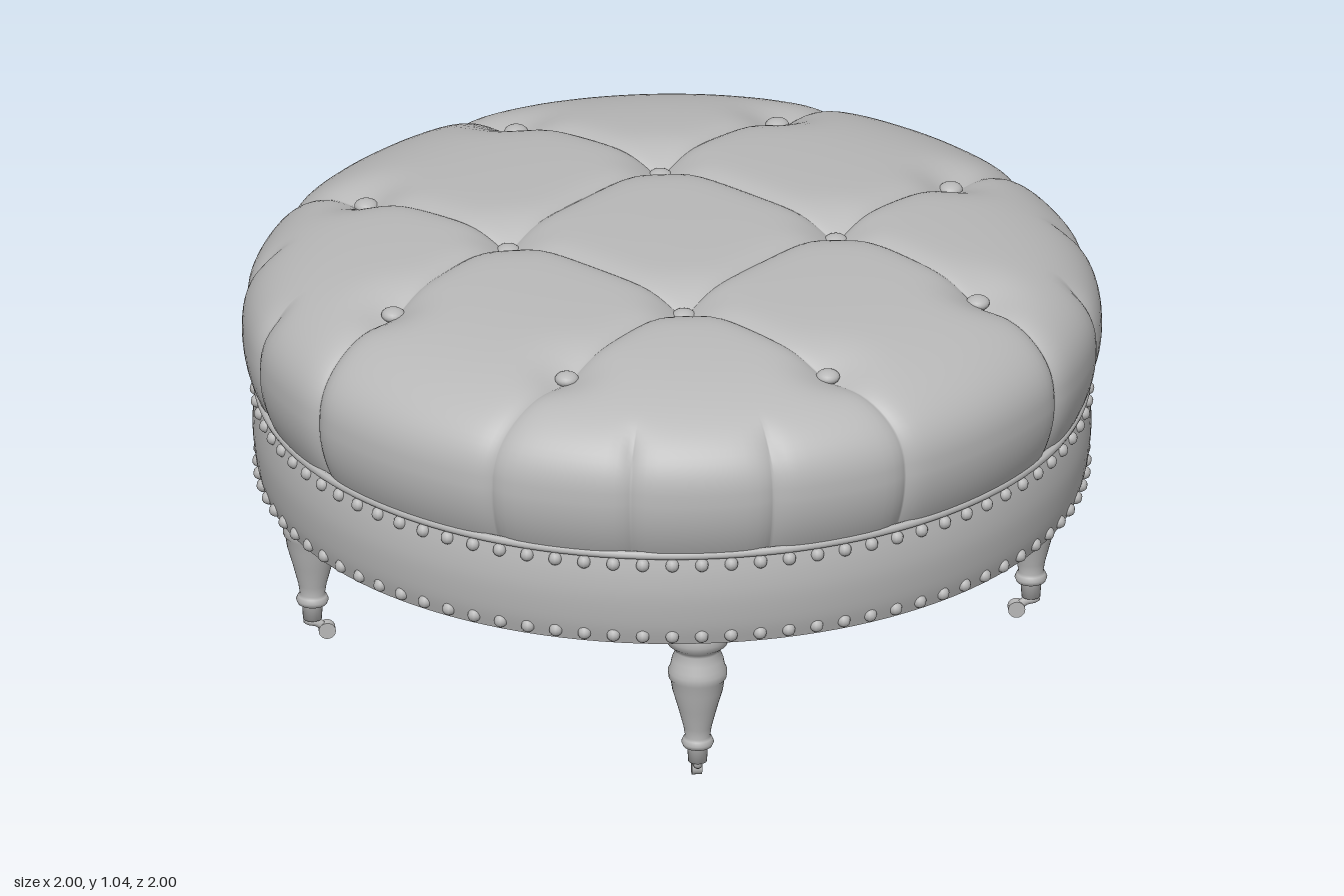
import * as THREE from 'three';
import { mergeGeometries, mergeVertices } from 'three/addons/utils/BufferGeometryUtils.js';

const SEAM = 0.27;                       // tufting seams run at x, z = +-SEAM
const SEAM_ANGLE = Math.asin(SEAM);
const SIDE_ANGLES = [0.615, Math.PI / 2 - 0.615]; // extra seams on the rounded rim
const BUTTONS = [];
for (const sx of [-1, 1]) for (const sz of [-1, 1]) {
  for (const [x, z] of [[SEAM, SEAM], [0.69, SEAM], [SEAM, 0.72]]) BUTTONS.push([x * sx, z * sz]);
}

const ease = (k, n) => (1 - Math.cos((Math.PI * k) / n)) / 2; // points cluster at both ends
const groove = (d, depth, width) => depth * Math.exp(-Math.abs(d) / width);

// Point on the tufted cushion: above the rim, or 'drop' (0..1) below it
function cushionPoint(x, z, drop = 0) {
  const r = Math.min(Math.hypot(x, z), 1);
  const ax = Math.abs(x), az = Math.abs(z), angle = Math.atan2(ax, az);
  const dome = Math.pow(Math.max(0, 1 - Math.pow(r, 4.5)), 0.4);
  let depth = 0;
  if (drop > 0) {
    for (const s of [SEAM_ANGLE, Math.PI / 2 - SEAM_ANGLE]) depth += groove(angle - s, 0.018, 0.025);
  } else {
    depth += groove(ax - SEAM, 0.018, 0.025) + groove(az - SEAM, 0.018, 0.025);
  }
  const rim = THREE.MathUtils.smoothstep(r, 0.88, 0.97);
  for (const s of SIDE_ANGLES) depth += rim * groove(angle - s, 0.018, 0.025);
  for (const [bx, bz] of BUTTONS) {
    const d = Math.hypot(x - bx, z - bz);
    depth += 0.03 * Math.exp(-((d / 0.08) ** 2));
  }
  const y = drop > 0 ? 0.78 - 0.14 * drop : 0.78 + 0.265 * dome - 0.02 * r * dome;
  const scale = 1 - 0.035 * drop * drop;
  const out = Math.pow(r, 6), up = drop > 0 ? 0 : dome, len = Math.hypot(out, up) || 1;
  const push = r > 0 ? (depth * out) / len / r : 0;
  return [x * (scale - push), y - (depth * up) / len, z * (scale - push)];
}

// Surface from a grid of points
function gridGeometry(nu, nv, point) {
  const positions = [], index = [];
  for (let i = 0; i <= nu; i++) for (let j = 0; j <= nv; j++) {
    positions.push(...point(i, j));
    if (i < nu && j < nv) {
      const a = i * (nv + 1) + j, d = a + nv + 1;
      index.push(a, a + 1, d + 1, a, d + 1, d);
    }
  }
  const g = new THREE.BufferGeometry();
  g.setAttribute('position', new THREE.Float32BufferAttribute(positions, 3));
  g.setIndex(index);
  return g;
}

function cushionGeometry() {
  const n = 24, across = 40, down = 10;
  // Central square panel
  const parts = [gridGeometry(n, n, (i, j) =>
    cushionPoint(SEAM * (2 * ease(i, n) - 1), SEAM * (2 * ease(j, n) - 1)))];
  // Rays from the square's border to the rim: one side panel and one corner fan per quarter
  const rays = [];
  for (let q = 0; q < 4; q++) {
    const turn = (q * Math.PI) / 2, c = Math.cos(turn), s = Math.sin(turn);
    const addRay = (ix, angle) => rays.push({
      x: ix * c + SEAM * s, z: SEAM * c - ix * s, angle: angle + turn });
    for (let k = 0; k < n; k++) {
      const u = 2 * ease(k, n) - 1;
      addRay(SEAM * u, SEAM_ANGLE * u);
    }
    const stops = [SEAM_ANGLE, ...SIDE_ANGLES, Math.PI / 2 - SEAM_ANGLE];
    for (let p = 0; p < 3; p++) for (let k = 0; k < 14; k++) {
      addRay(SEAM, THREE.MathUtils.lerp(stops[p], stops[p + 1], ease(k, 14)));
    }
  }
  parts.push(gridGeometry(rays.length, across + down, (i, j) => {
    const ray = rays[i % rays.length];
    const t = ease(Math.min(j, across), across);
    return cushionPoint(
      THREE.MathUtils.lerp(ray.x, Math.sin(ray.angle), t),
      THREE.MathUtils.lerp(ray.z, Math.cos(ray.angle), t),
      Math.max(0, j - across) / down);
  }));
  const g = mergeVertices(mergeGeometries(parts), 1e-5);
  g.computeVertexNormals();
  return g;
}

const lathe = (points, segments) =>
  new THREE.LatheGeometry(points.map(([r, y]) => new THREE.Vector2(r, y)), segments);

export function createModel() {
  const model = new THREE.Group();
  const grey = new THREE.MeshStandardMaterial({ color: 0xb8b8b8 });
  grey.name = 'soft grey';
  const add = (parent, name, geometry, x = 0, y = 0, z = 0) => {
    const mesh = new THREE.Mesh(geometry, grey);
    mesh.name = name;
    mesh.position.set(x, y, z);
    parent.add(mesh);
    return mesh;
  };

  add(model, 'cushion', cushionGeometry());

  // Tufting buttons sit in the dimples
  const buttonGeometry = new THREE.SphereGeometry(0.028, 20, 12).scale(1, 0.6, 1);
  for (const [x, z] of BUTTONS) {
    const [px, py, pz] = cushionPoint(x, z);
    add(model, 'button', buttonGeometry, px, py + 0.012, pz);
  }

  // Upholstered base with a slight bulge
  const wall = new THREE.SplineCurve([[0.955, 0.41], [0.968, 0.46], [0.975, 0.53], [0.971, 0.59], [0.96, 0.645]]
    .map(([r, y]) => new THREE.Vector2(r, y))).getPoints(16);
  add(model, 'baseBand', new THREE.LatheGeometry(wall, 128));
  add(model, 'baseUnderside', new THREE.CircleGeometry(0.955, 128).rotateX(Math.PI / 2), 0, 0.41, 0);
  add(model, 'piping', new THREE.TorusGeometry(0.964, 0.01, 8, 128).rotateX(Math.PI / 2), 0, 0.641, 0);

  // Two rows of upholstery nails
  const nailGeometry = new THREE.SphereGeometry(0.016, 10, 8);
  for (const [r, y] of [[0.966, 0.617], [0.96, 0.432]]) {
    for (let i = 0; i < 88; i++) {
      const a = (i / 88) * Math.PI * 2;
      add(model, 'nail', nailGeometry, Math.sin(a) * r, y, Math.cos(a) * r);
    }
  }

  // Turned legs with casters trailing toward the centre
  const legGeometry = lathe([
    [0, 0.05], [0.022, 0.05], [0.024, 0.085], [0.034, 0.09], [0.038, 0.1], [0.034, 0.11], [0.029, 0.115],
    [0.033, 0.14], [0.046, 0.19], [0.059, 0.235], [0.063, 0.262], [0.068, 0.268], [0.069, 0.285],
    [0.064, 0.295], [0.06, 0.315], [0.052, 0.335], [0.058, 0.345], [0.07, 0.355], [0.074, 0.37],
    [0.073, 0.385], [0.07, 0.39], [0.07, 0.415]], 32);
  const armGeometry = new THREE.TubeGeometry(new THREE.CatmullRomCurve3([
    new THREE.Vector3(0, 0.06, 0), new THREE.Vector3(0, 0.045, -0.012),
    new THREE.Vector3(0, 0.038, 0.012), new THREE.Vector3(0, 0.022, 0.032)]), 14, 0.011, 8);
  const wheelGeometry = new THREE.CylinderGeometry(0.02, 0.02, 0.024, 20).rotateZ(Math.PI / 2);
  for (const sx of [-1, 1]) for (const sz of [-1, 1]) {
    const leg = new THREE.Group();
    leg.name = 'leg';
    leg.position.set(0.592 * sx + 0.007, 0, 0.592 * sz - 0.007);
    leg.rotation.y = Math.atan2(-sx, -sz);
    add(leg, 'turnedLeg', legGeometry);
    add(leg, 'casterArm', armGeometry);
    add(leg, 'casterWheel', wheelGeometry, 0, 0.02, 0.034);
    model.add(leg);
  }
  return model;
}
